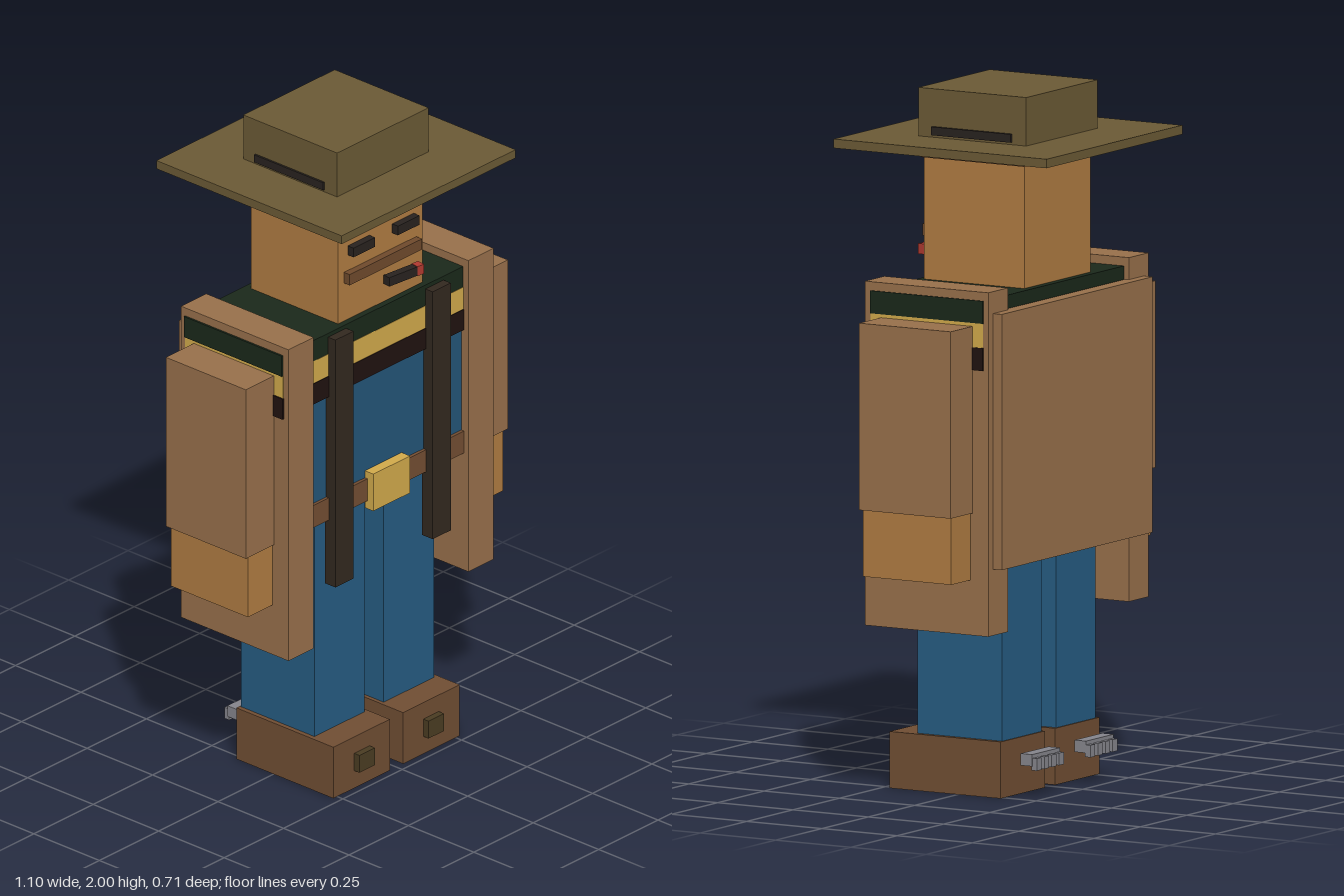
import * as THREE from 'three';

const COLORS = {
  hat: 0x6b5a35, black: 0x28221f, hair: 0x6f4a2c, skin: 0xb07c42, vest: 0x98704b,
  green: 0x1a281a, yellow: 0xd2aa4b, darkStripe: 0x201210, shirt: 0x245578, jeans: 0x265c82,
  belt: 0x734e32, strap: 0x32281f, shoe: 0x704e33, shoeBuckle: 0x4a3c22, metal: 0x85858c, ember: 0xb03a30,
};

export function createModel() {
  const model = new THREE.Group();
  model.name = 'cowboy';

  const materials = {};
  const material = (key) => (materials[key] ??= new THREE.MeshStandardMaterial({ color: COLORS[key], flatShading: true }));

  // Box given by its [min, max] extent along each axis
  function box(name, color, [x0, x1], [y0, y1], [z0, z1], parent = model) {
    const mesh = new THREE.Mesh(new THREE.BoxGeometry(x1 - x0, y1 - y0, z1 - z0), material(color));
    mesh.position.set((x0 + x1) / 2, (y0 + y1) / 2, (z0 + z1) / 2);
    mesh.name = name;
    parent.add(mesh);
    return mesh;
  }

  // The same box on both sides, x measured outward from the middle
  function pair(name, color, [x0, x1], y, z) {
    box(name + 'Left', color, [x0, x1], y, z);
    box(name + 'Right', color, [-x1, -x0], y, z);
  }

  // Hat
  box('hatCrown', 'hat', [-0.195, 0.19], [1.86, 2.0], [-0.18, 0.178]);
  box('hatBrim', 'hat', [-0.368, 0.365], [1.835, 1.861], [-0.355, 0.352]);
  box('hatBand', 'black', [-0.201, 0.199], [1.868, 1.892], [-0.133, 0.13]);

  // Head and face
  box('hair', 'hair', [-0.188, 0.185], [1.8, 1.835], [-0.17, 0.172]);
  box('head', 'skin', [-0.18, 0.176], [1.44, 1.8], [-0.165, 0.168]);
  pair('eye', 'black', [0.048, 0.139], [1.653, 1.682], [0.16, 0.19]);
  box('moustache', 'hair', [-0.155, 0.15], [1.57, 1.604], [0.16, 0.19]);

  // Cigar, angled away from the face
  const cigar = new THREE.Group();
  cigar.name = 'cigar';
  cigar.position.set(0, 1.527, 0.19);
  cigar.rotation.y = -0.12;
  box('cigarBody', 'black', [0, 0.105], [-0.014, 0.014], [-0.012, 0.012], cigar);
  box('cigarTip', 'ember', [0.105, 0.13], [-0.015, 0.015], [-0.013, 0.013], cigar);
  model.add(cigar);

  // Torso with striped yoke
  box('shirt', 'shirt', [-0.42, 0.42], [0.86, 1.25], [-0.18, 0.18]);
  box('stripeDark', 'darkStripe', [-0.438, 0.436], [1.25, 1.315], [-0.187, 0.19]);
  box('stripeYellow', 'yellow', [-0.434, 0.433], [1.315, 1.385], [-0.186, 0.188]);
  box('stripeGreen', 'green', [-0.438, 0.436], [1.385, 1.45], [-0.187, 0.187]);
  box('belt', 'belt', [-0.42, 0.42], [0.86, 0.93], [-0.188, 0.19]);
  box('beltBuckle', 'yellow', [-0.08, 0.075], [0.835, 0.952], [0.18, 0.212]);
  pair('strap', 'strap', [0.167, 0.243], [0.655, 1.438], [0.175, 0.215]);

  // Vest
  pair('vestSide', 'vest', [0.326, 0.432], [0.49, 1.475], [-0.203, 0.207]);
  box('vestBack', 'vest', [-0.408, 0.406], [0.68, 1.412], [-0.232, -0.19]);

  // Arms
  pair('sleeve', 'vest', [0.434, 0.552], [0.84, 1.375], [-0.152, 0.153]);
  pair('hand', 'skin', [0.434, 0.538], [0.648, 0.84], [-0.145, 0.148]);

  // Legs and shoes
  pair('leg', 'jeans', [0.04, 0.252], [0.16, 0.86], [-0.138, 0.143]);
  pair('shoe', 'shoe', [0.028, 0.266], [0, 0.162], [-0.142, 0.228]);
  pair('shoeBuckle', 'shoeBuckle', [0.113, 0.178], [0.055, 0.11], [0.22, 0.248]);

  // Spurs: a bar behind each heel with a row of teeth
  pair('spurBar', 'metal', [0.07, 0.22], [0.092, 0.126], [-0.218, -0.18]);
  for (let i = 0; i < 4; i++) {
    const x = 0.072 + i * 0.04;
    pair('spurTooth' + (i + 1), 'metal', [x, x + 0.025], [0.08, 0.115], [-0.232, -0.214]);
  }

  return model;
}
